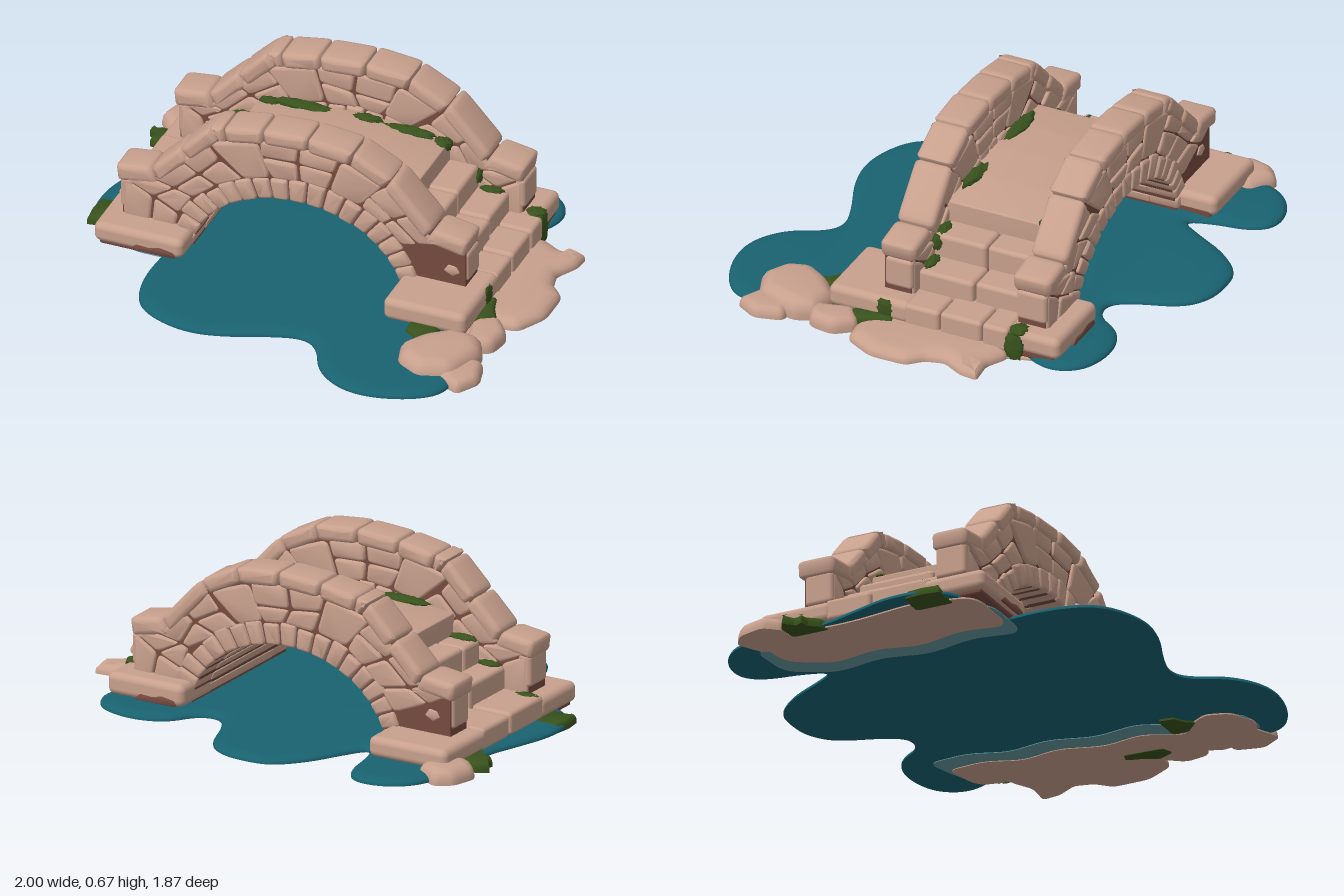
import * as THREE from 'three';
import { toCreasedNormals } from 'three/addons/utils/BufferGeometryUtils.js';
import { RoundedBoxGeometry } from 'three/addons/geometries/RoundedBoxGeometry.js';

const paint = (name, color) => Object.assign(new THREE.MeshStandardMaterial({ color }), { name });

export function createModel() {
  const stone = paint('stone', 0xc8a08d);
  const mortar = paint('mortar', 0x754a3f);
  const moss = paint('moss', 0x38521c);
  const water = paint('water', 0x196270);
  const shallows = paint('shallows', 0x62969f);

  const model = new THREE.Group();
  model.name = 'stoneBridge';
  let seed = 7;
  const rand = () => (seed = (seed * 16807) % 2147483647) / 2147483647;
  const jit = (a) => (rand() - 0.5) * 2 * a;
  const lerp = (a, b, t) => [a[0] + (b[0] - a[0]) * t, a[1] + (b[1] - a[1]) * t];

  const add = (parent, name, geo, mat) => {
    const mesh = new THREE.Mesh(geo, mat);
    mesh.name = name;
    parent.add(mesh);
    return mesh;
  };

  // Closed outline with rounded corners; k = 0.5 makes it fully smooth
  function outline(pts, k) {
    const n = pts.length, shape = new THREE.Shape();
    pts.forEach((p, i) => {
      const a = lerp(p, pts[(i + n - 1) % n], k), b = lerp(p, pts[(i + 1) % n], k);
      if (i === 0) shape.moveTo(...a); else shape.lineTo(...a);
      shape.quadraticCurveTo(p[0], p[1], b[0], b[1]);
    });
    shape.closePath();
    return shape;
  }

  // Pillowy stone: a side-on polygon (x, y) running between two depths
  function block(parent, name, pts, za, zb, bevel = 0.014, mat = stone, k = 0.15, crease = 0.8) {
    const geo = new THREE.ExtrudeGeometry(outline(pts, k), {
      depth: Math.abs(zb - za) - 2 * bevel, bevelThickness: bevel, bevelSize: bevel, bevelOffset: -bevel,
      bevelSegments: 3, curveSegments: 3,
    });
    geo.translate(0, 0, Math.min(za, zb) + bevel);
    return add(parent, name, toCreasedNormals(geo, crease), mat);
  }

  // Flat-bottomed mound from a plan polygon (x, z)
  function mound(name, pts, y, h, round, inset, mat, k = 0.3) {
    const geo = new THREE.ExtrudeGeometry(outline(pts.map(([x, z]) => [x, -z]), k), {
      depth: h - round, bevelThickness: round, bevelSize: inset, bevelOffset: -inset,
      bevelSegments: 4, curveSegments: 6,
    });
    geo.rotateX(-Math.PI / 2);
    const p = geo.attributes.position;
    for (let i = 0; i < p.count; i++) p.setY(i, Math.max(0, p.getY(i)) + y);
    add(model, name, toCreasedNormals(geo, 0.8), mat);
  }

  function box(parent, name, x0, x1, y0, y1, z0, z1, mat = stone, r = 0.018) {
    const geo = new RoundedBoxGeometry(x1 - x0, y1 - y0, Math.abs(z1 - z0), 3, r);
    add(parent, name, geo, mat).position.set((x0 + x1) / 2, (y0 + y1) / 2, (z0 + z1) / 2);
  }

  // Arch ellipses, angle in degrees from the right foot
  const CX = -0.045;
  const arch = (deg, rx, ry) => {
    const a = deg * Math.PI / 180;
    return [CX + rx * Math.cos(a), ry * Math.sin(a)];
  };
  const inner = (deg) => arch(deg, 0.46, 0.36);
  const outer = (deg) => arch(deg, 0.55, 0.455);
  const innerLine = Array.from({ length: 41 }, (_, i) => inner(3 + i * 174 / 40));

  // Top line of the wall under the coping, and of the coping itself
  const wallTop = [[-0.81, 0.1], [-0.81, 0.29], [-0.68, 0.31], [-0.56, 0.43], [-0.45, 0.55], [-0.22, 0.61],
    [-0.04, 0.62], [0.14, 0.605], [0.34, 0.53], [0.45, 0.42], [0.57, 0.3], [0.685, 0.29], [0.685, 0.1]];
  const coping = [[-0.84, 0.345], [-0.685, 0.365], [-0.56, 0.49], [-0.43, 0.62], [-0.37, 0.635], [-0.2, 0.665], [0, 0.677],
    [0.2, 0.657], [0.37, 0.57], [0.55, 0.375], [0.7, 0.35]];

  // One side wall; out is the z side facing away from the deck, wornEnd the x side with lost stones
  function wall(name, z, out, wornEnd) {
    const g = new THREE.Group();
    g.name = name;
    g.position.z = z;
    model.add(g);
    const core = new THREE.ExtrudeGeometry(
      new THREE.Shape([...wallTop, [0.685, 0.02], ...innerLine, [-0.81, 0.02]].map((p) => new THREE.Vector2(...p))),
      { depth: 0.12, bevelEnabled: false });
    core.translate(0, 0, -0.06);
    add(g, 'wallCore', core, mortar);

    // Ring of arch stones
    const n = 19;
    for (let i = 0; i < n; i++) {
      const a0 = 6 + i * 168 / n + 0.4, a1 = 6 + (i + 1) * 168 / n - 0.4, lift = jit(0.012);
      const top = (a) => arch(a, 0.55 + lift, 0.455 + lift);
      block(g, 'archStone', [inner(a0), top(a0), top(a1), inner(a1)], -0.076 + jit(0.004), 0.076 + jit(0.004));
    }

    // Irregular rubble between arch and coping
    const rows = wallTop.map((t, i) => {
      const e = outer(172 - i * 164 / 12), end = i === 0 || i === 12;
      const tilt = end ? 0 : jit(0.025), split = 0.38 + rand() * 0.24;
      const m = lerp(e, t, split);
      return [[e[0] + tilt, e[1]], [m[0] - tilt * 0.6, m[1]], [t[0], t[1]]];
    });
    for (let i = 0; i < 12; i++) {
      const single = i > 2 && i < 9 && i % 3 === 1;
      const cells = single ? [[0, 2]] : [[0, 1], [1, 2]];
      for (const [lo, hi] of cells) {
        const q = [rows[i][lo], rows[i][hi], rows[i + 1][hi], rows[i + 1][lo]];
        const mid = [0, 1].map((c) => q.reduce((s, p) => s + p[c], 0) / 4);
        const worn = wornEnd > 0 ? i >= 10 : i === 0;
        block(g, 'rubbleStone', q.map((p) => lerp(p, mid, 0.07)), out * (-0.072 + jit(0.004)),
          out * (worn ? 0.04 : 0.072 + jit(0.004)), 0.012, stone, 0.18);
      }
    }
    const endFace = (side) => out * (side === wornEnd ? 0.056 : 0.068);
    box(g, 'rightEndStone', 0.65, 0.695, 0.15, 0.285, -0.068 * out, endFace(1));
    box(g, 'leftEndStone', -0.82, -0.76, 0.145, 0.285, -0.068 * out, endFace(-1));
    const chip = [[0.59, 0.19], [0.61, 0.22], [0.645, 0.215], [0.66, 0.19], [0.63, 0.17]];
    block(g, 'exposedStone', chip.map(([x, y]) => [wornEnd > 0 ? x : -x - 0.1, y]), out * 0.045, out * 0.066, 0.005);

    // Coping stones follow the top line
    for (let i = 0; i < coping.length - 1; i++) {
      const a = lerp(coping[i], coping[i + 1], 0.015), b = lerp(coping[i + 1], coping[i], 0.015);
      const h = i === 0 || i === coping.length - 2 ? 0.078 : 0.07;
      const nrm = (j) => {
        const p = coping[Math.max(0, j - 1)], q = coping[Math.min(coping.length - 1, j + 1)];
        const l = Math.hypot(q[0] - p[0], q[1] - p[1]);
        return [(q[1] - p[1]) / l * h, -(q[0] - p[0]) / l * h];
      };
      const d = nrm(i), e = nrm(i + 1);
      block(g, 'copingStone', [a, b, [b[0] + e[0], b[1] + e[1]], [a[0] + d[0], a[1] + d[1]]],
        -0.083 + jit(0.004), 0.083 + jit(0.004), 0.024, stone, 0.18);
    }
  }
  wall('frontWall', 0.145, 1, 1);
  wall('backWall', -0.455, -1, -1);

  // Vault and stair core, lined with long stones between mortar seams
  block(model, 'vault', [[0.6, 0.02], ...innerLine, [-0.7, 0.02], [-0.7, 0.11], [-0.57, 0.11], [-0.57, 0.2], [-0.45, 0.2],
    [-0.44, 0.385], [0.35, 0.385], [0.36, 0.2], [0.48, 0.2], [0.48, 0.11], [0.6, 0.11]], -0.4, 0.09, 0.001, mortar, 0.02);
  for (let i = 0; i < 19; i++) {
    const a0 = 7.5 + i * 168 / 19, a1 = a0 + 5.8;
    block(model, 'vaultStone', [arch(a0, 0.455, 0.355), arch(a0, 0.47, 0.37), arch(a1, 0.47, 0.37), arch(a1, 0.455, 0.355)],
      -0.4, 0.09, 0.003);
  }
  // Gently arched deck
  block(model, 'deck', [[-0.46, 0.3], [-0.46, 0.4], [-0.25, 0.425], [-0.045, 0.432], [0.16, 0.425], [0.37, 0.4], [0.37, 0.3],
    [0.29, 0.3], [0.21, 0.385], [-0.3, 0.385], [-0.38, 0.3]], -0.39, 0.08, 0.004, stone, 0.06, 0.3);

  // Steps: x0, x1, bottom, top, joint positions
  const steps = [[0.365, 0.495, 0.19, 0.315, [-0.16]], [0.49, 0.635, 0.1, 0.225, [-0.17]], [0.42, 0.77, 0.03, 0.132, [-0.27, -0.08]],
    [-0.585, -0.455, 0.19, 0.315, [-0.05]], [-0.705, -0.58, 0.1, 0.225, [-0.2]], [-0.885, -0.51, 0.03, 0.125, [-0.18]]];
  for (const [x0, x1, y0, y1, joints] of steps) {
    const cuts = [-0.39, ...joints, 0.08];
    for (let i = 0; i < cuts.length - 1; i++) {
      box(model, 'stepStone', x0, x1 + jit(0.006), y0, y1 + jit(0.005), cuts[i] + 0.002, cuts[i + 1] - 0.002);
    }
  }

  // Footing slabs under the wall ends, with worn faces
  box(model, 'footing', -0.89, -0.5, 0.03, 0.118, 0.05, 0.33, stone, 0.03);
  box(model, 'footing', -0.89, -0.52, 0.03, 0.118, -0.685, -0.36, stone, 0.03);
  box(model, 'footing', 0.41, 0.77, 0.035, 0.132, 0.05, 0.42, stone, 0.03);
  box(model, 'footing', 0.4, 0.76, 0.035, 0.13, -0.61, -0.36, stone, 0.03);
  box(model, 'footingBed', -0.87, -0.52, 0.014, 0.06, -0.66, 0.31, mortar, 0.01);
  box(model, 'footingBed', 0.43, 0.75, 0.014, 0.06, -0.58, 0.4, mortar, 0.01);
  const worn = [[-0.73, 0.035], [-0.7, 0.062], [-0.64, 0.058], [-0.6, 0.07], [-0.54, 0.06], [-0.53, 0.035]];
  block(model, 'wornPatch', worn, 0.324, 0.333, 0.002, mortar);
  block(model, 'wornPatch', worn.map(([x, y]) => [-0.1 - x, y + 0.004]), -0.613, -0.604, 0.002, mortar);

  // Pond
  mound('pond', [[-0.59, 0.25], [-0.61, 0.45], [-0.57, 0.64], [-0.47, 0.73], [-0.3, 0.78], [-0.14, 0.75], [0.02, 0.68],
    [0.16, 0.64], [0.24, 0.69], [0.3, 0.83], [0.42, 0.92], [0.56, 0.94], [0.73, 0.89], [0.84, 0.8], [0.84, 0.65], [0.74, 0.45],
    [0.7, 0], [0.7, -0.4], [0.78, -0.53], [0.78, -0.63], [0.71, -0.72], [0.55, -0.755], [0.41, -0.71], [0.34, -0.59], [0.24, -0.57],
    [0.18, -0.66], [0.12, -0.85], [0.02, -0.925], [-0.09, -0.94], [-0.21, -0.93], [-0.32, -0.82], [-0.4, -0.67], [-0.47, -0.56],
    [-0.51, -0.68], [-0.53, -0.84], [-0.6, -0.92], [-0.73, -0.91], [-0.84, -0.83], [-0.88, -0.7], [-0.88, -0.4],
    [-0.95, -0.2], [-1, -0.03], [-0.98, 0.14], [-0.86, 0.24], [-0.7, 0.22]], 0.009, 0.026, 0.02, 0.06, water, 0.5);

  // Shore beds underneath, each with a rim of shallow water on the inner side
  const shores = [[[0.56, -0.57], [0.74, -0.52], [0.77, -0.38], [0.92, -0.3], [0.92, 0.15], [0.8, 0.26], [0.84, 0.45], [0.88, 0.7], [0.7, 0.68], [0.68, 0.42],
    [0.61, 0.28], [0.64, 0.1], [0.58, -0.08], [0.61, -0.25], [0.55, -0.4]],
    [[-0.9, -0.7], [-0.66, -0.68], [-0.56, -0.5], [-0.6, -0.3], [-0.55, -0.12], [-0.6, 0.08], [-0.56, 0.28], [-0.86, 0.28], [-0.92, 0.05], [-0.87, -0.3]]];
  for (const s of shores) {
    mound('shoreBed', s, 0.003, 0.008, 0.001, 0.001, stone, 0.3);
    mound('shallowRim', s.map(([x, z]) => [x - Math.sign(x) * 0.09, z * 1.07]), 0.006, 0.006, 0.001, 0.001, shallows, 0.3);
  }

  // Bank rocks
  mound('bankSlab', [[0.7, -0.36], [0.78, -0.39], [0.87, -0.34], [0.98, -0.35], [0.97, -0.27], [0.92, -0.18], [0.94, -0.1],
    [1.0, -0.04], [1.0, 0.12], [0.93, 0.25], [0.82, 0.26], [0.7, 0.2]], 0.003, 0.045, 0.035, 0.07, stone, 0.22);
  mound('rock', [[0.56, 0.59], [0.62, 0.49], [0.72, 0.41], [0.85, 0.43], [0.89, 0.52], [0.83, 0.7], [0.7, 0.75], [0.59, 0.69]], 0.003, 0.086, 0.06, 0.06, stone, 0.25);
  mound('rock', [[0.78, 0.55], [0.91, 0.55], [0.94, 0.67], [0.88, 0.77], [0.76, 0.71]], 0.003, 0.048, 0.04, 0.035, stone, 0.22);
  mound('rock', [[0.75, 0.3], [0.85, 0.24], [0.92, 0.33], [0.9, 0.44], [0.8, 0.48]], 0.003, 0.063, 0.045, 0.035, stone);
  mound('rock', [[-0.99, -0.62], [-0.96, -0.73], [-0.89, -0.78], [-0.77, -0.71], [-0.8, -0.55], [-0.93, -0.55]], 0.003, 0.065, 0.05, 0.05, stone, 0.25);

  // Moss mats on the banks
  const mats = [[[-1, -0.52], [-0.95, -0.55], [-0.86, -0.54], [-0.86, -0.38], [-0.9, -0.4], [-0.93, -0.44], [-0.97, -0.45], [-0.95, -0.49]],
    [[-0.98, 0.02], [-0.86, 0.015], [-0.86, 0.18], [-0.92, 0.17], [-0.98, 0.18], [-0.99, 0.1]],
    [[0.52, 0.4], [0.66, 0.4], [0.66, 0.47], [0.6, 0.53], [0.57, 0.49], [0.53, 0.47]],
    [[0.75, 0.13], [0.79, 0.12], [0.81, 0.19], [0.84, 0.25], [0.81, 0.32], [0.76, 0.3]]];
  mats.forEach((m, i) => mound('mossMat', m, 0, [0.045, 0.038, 0.055, 0.062][i], 0.03, 0.02, moss, 0.15));

  // Moss tufts: centre, then half sizes
  const tufts = [[-0.4, 0.41, -0.365, 0.05, 0.013, 0.022], [-0.26, 0.425, -0.362, 0.12, 0.016, 0.029], [0.02, 0.432, -0.365, 0.06, 0.014, 0.025],
    [0.2, 0.418, -0.362, 0.11, 0.017, 0.028], [0.35, 0.4, -0.36, 0.04, 0.018, 0.033], [-0.23, 0.425, 0.052, 0.13, 0.016, 0.033],
    [0.17, 0.42, 0.052, 0.1, 0.017, 0.033], [0.5, 0.28, 0.065, 0.014, 0.035, 0.025], [0.56, 0.225, 0.055, 0.05, 0.012, 0.024],
    [0.44, 0.315, 0.055, 0.05, 0.014, 0.024], [-0.52, 0.315, 0.052, 0.06, 0.014, 0.025], [-0.82, 0.122, 0.052, 0.06, 0.01, 0.03],
    [-0.64, 0.225, 0.055, 0.05, 0.012, 0.024], [-0.52, 0.315, -0.365, 0.05, 0.014, 0.022], [0.5, 0.27, -0.375, 0.014, 0.032, 0.025],
    [0.56, 0.225, -0.365, 0.05, 0.012, 0.022], [0.37, 0.39, -0.37, 0.012, 0.026, 0.026],
    [0.73, 0.125, -0.42, 0.045, 0.014, 0.04], [0.765, 0.062, -0.41, 0.013, 0.064, 0.042], [0.766, 0.085, 0.165, 0.011, 0.042, 0.04]];
  tufts.forEach(([x, y, z, a, b, c], n) => {
    const geo = new THREE.SphereGeometry(1, 22, 12);
    const p = geo.attributes.position, v = new THREE.Vector3();
    for (let i = 0; i < p.count; i++) {
      v.fromBufferAttribute(p, i);
      const s = 1 + 0.18 * Math.sin(v.x * 9 + n) * Math.cos(v.z * 7 + n * 2) + 0.08 * Math.sin(v.y * 9 + v.x * 4);
      p.setXYZ(i, v.x * s * a, Math.max(v.y * s * b, -y), v.z * s * c);
    }
    geo.computeVertexNormals();
    add(model, 'mossTuft', geo, moss).position.set(x, y, z);
  });
  return model;
}
